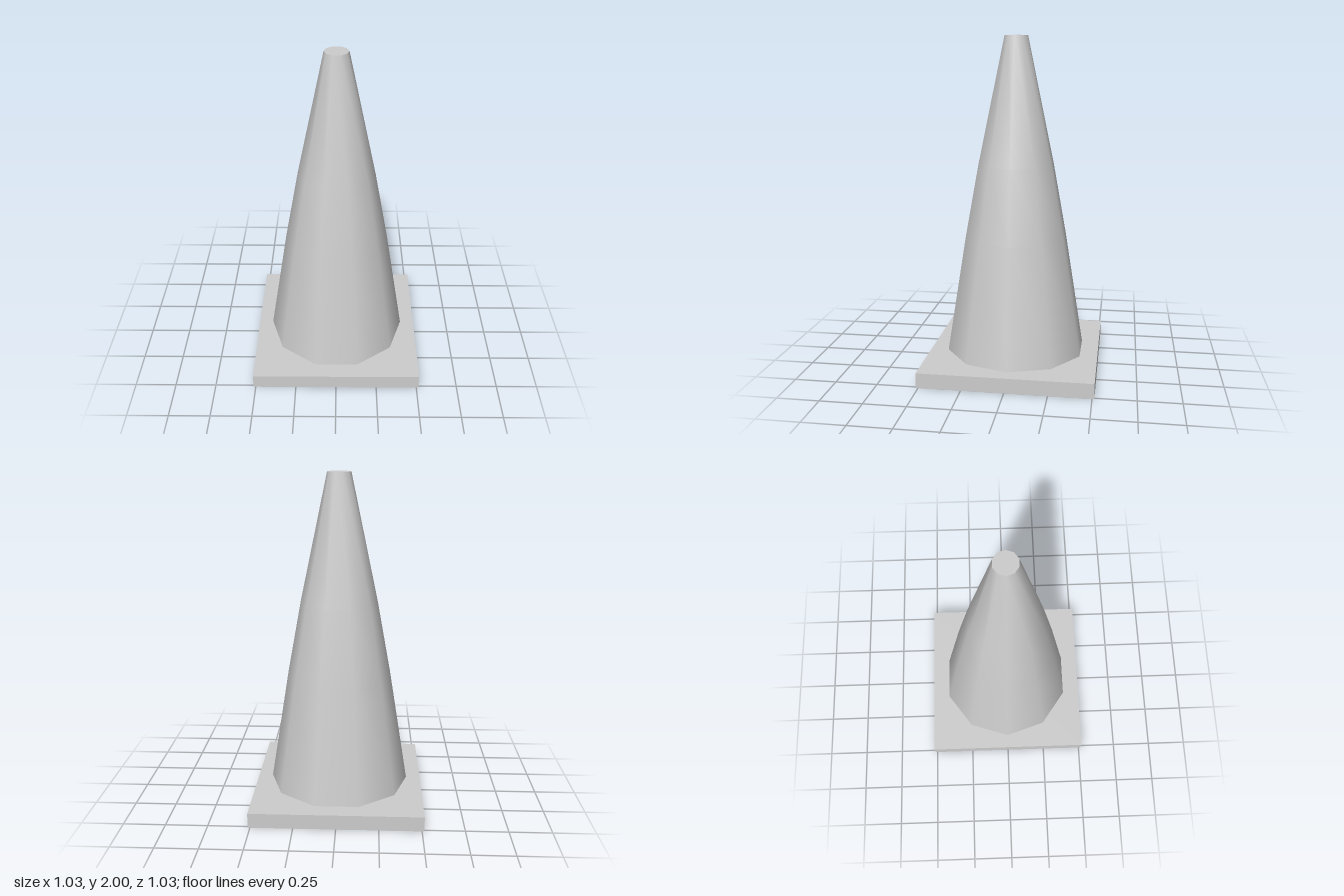
import * as THREE from 'three';

const SIDES = 10;
const BASE_SIZE = 1.026;
const BASE_HEIGHT = 0.09;
const TOP_RADIUS = 0.07;

export function createModel() {
  const model = new THREE.Group();
  model.name = 'trafficCone';
  const grey = new THREE.MeshStandardMaterial({ color: 0xcccccc, side: THREE.DoubleSide });
  grey.name = 'light grey';

  const add = (name, geometry, y = 0) => {
    const mesh = new THREE.Mesh(geometry, grey);
    mesh.name = name;
    mesh.position.y = y;
    model.add(mesh);
    return mesh;
  };

  // Square base: a shallow shell, open underneath
  const shell = new THREE.BoxGeometry(BASE_SIZE, BASE_HEIGHT, BASE_SIZE);
  const faces = Array.from(shell.index.array);
  faces.splice(18, 6); // drop the bottom face
  shell.setIndex(faces);
  shell.clearGroups();
  add('base', shell, BASE_HEIGHT / 2);

  // Slightly bulging ten-sided body, with a corner towards +x
  const profile = [[0.427, BASE_HEIGHT], [0.312, 0.8], [0.231, 1.24], [TOP_RADIUS, 2]]
    .map(([r, y]) => new THREE.Vector2(r, y));
  add('coneBody', new THREE.LatheGeometry(profile, SIDES, Math.PI / 2));

  // Flat tip
  const cap = new THREE.CircleGeometry(TOP_RADIUS, SIDES);
  cap.rotateX(-Math.PI / 2);
  add('coneTip', cap, 2);

  return model;
}
